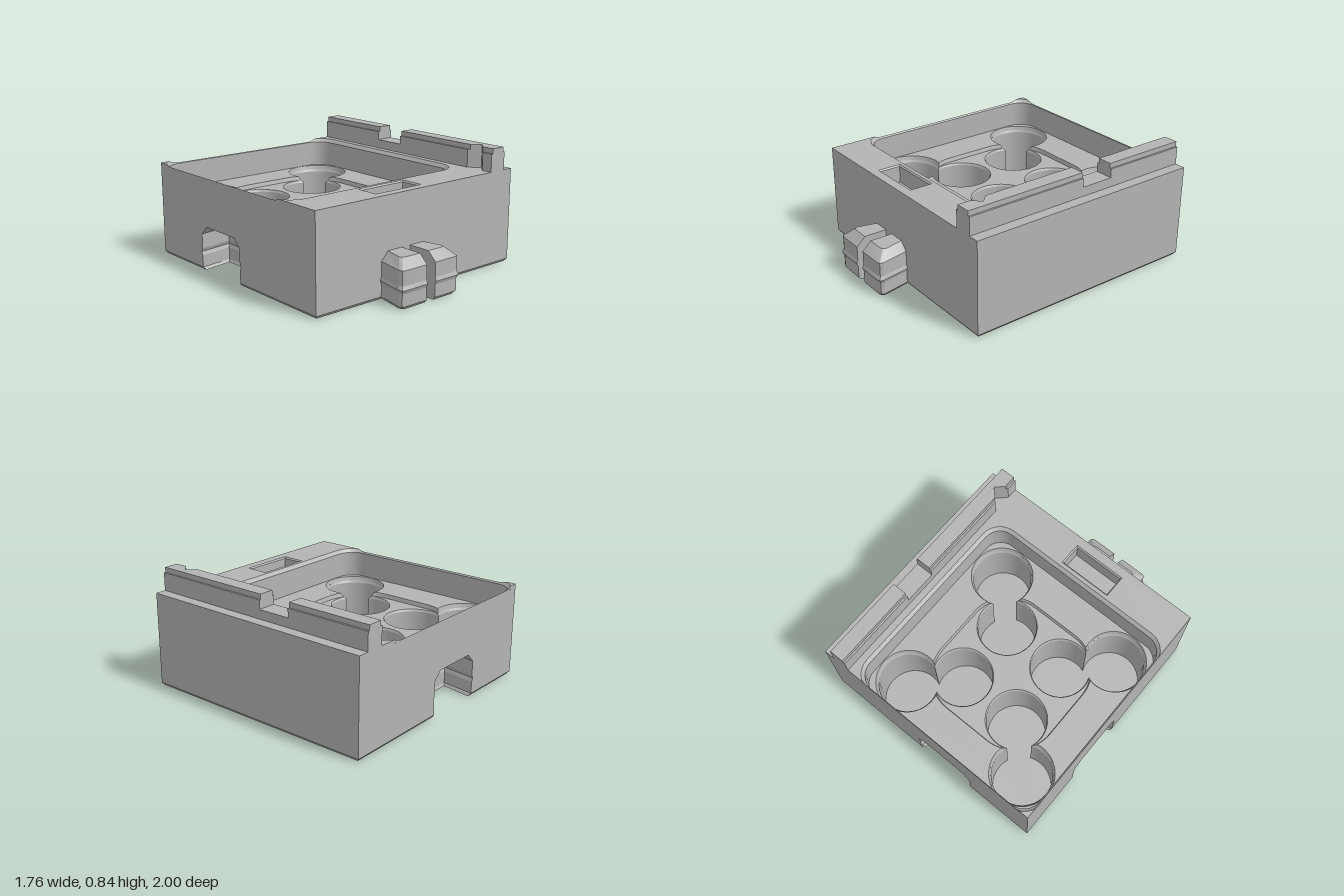
import * as THREE from 'three';
import { mergeGeometries, toCreasedNormals } from 'three/addons/utils/BufferGeometryUtils.js';

const CX = -0.135, CZ = -0.26;            // centre of the pocket, clip and notches
const X = 0.88, BACK = -1, FRONT = 0.76, TOP = 0.68;

// Horizontal face from plan loops of [x, z]
function flat(y, loop, up, holes = []) {
  const vec = l => l.map(p => new THREE.Vector2(p[0], p[1]));
  const shape = new THREE.Shape(vec(loop));
  holes.forEach(h => shape.holes.push(new THREE.Path(vec(h))));
  const g = new THREE.ShapeGeometry(shape);
  g.rotateX(Math.PI / 2).translate(0, y, 0);
  if (up) {
    const a = g.index.array;
    for (let i = 0; i < a.length; i += 3) [a[i], a[i + 1]] = [a[i + 1], a[i]];
  }
  const out = g.toNonIndexed();
  out.deleteAttribute('uv');
  out.computeVertexNormals();
  return out;
}

// Wall between two loops of equal length, lower then upper; a point may carry its own height
function band(lo, y0, hi, y1, outward = true) {
  const pos = [], at = (l, i, y) => { const p = l[i % l.length]; return [p[0], p[2] ?? y, p[1]]; };
  for (let i = 0; i < lo.length; i++) {
    const a = at(lo, i, y0), b = at(lo, i + 1, y0), c = at(hi, i + 1, y1), d = at(hi, i, y1);
    pos.push(...(outward ? [a, c, b, a, d, c] : [a, b, c, a, c, d]).flat());
  }
  const g = new THREE.BufferGeometry();
  g.setAttribute('position', new THREE.Float32BufferAttribute(pos, 3));
  g.computeVertexNormals();
  return toCreasedNormals(g, 0.5);
}

const rect = (x0, x1, z0, z1) => [[x0, z0], [x1, z0], [x1, z1], [x0, z1]];

// Arc around (cx, cz), angles in radians
function arc(cx, cz, r, a0, a1, n = 8) {
  return Array.from({ length: n + 1 }, (_, i) => {
    const a = a0 + (a1 - a0) * i / n;
    return [cx + r * Math.cos(a), cz + r * Math.sin(a)];
  });
}

// Corner arcs of a rounded square around the pocket centre
const corners = (half, r) => [[1, 1], [-1, 1], [-1, -1], [1, -1]].map(([sx, sz], q) =>
  arc(CX + sx * (half - r), CZ + sz * (half - r), r, q * Math.PI / 2, (q + 1) * Math.PI / 2));

// Outlines of the cups and centre recess, made along one diagonal and turned to each corner
function cupOutlines(grow) {
  const r = 0.206 + grow, R = 0.294 + grow, S = Math.SQRT2;
  const uc = 0.5075 * S, ui = 0.24 * S, us = 0.175 * S;
  const D = uc - us, a = (D * D + R * R - r * r) / (2 * D), h = Math.sqrt(R * R - a * a);
  const half = (uc - ui) / 2, hq = Math.sqrt(r * r - half * half);
  const onRecess = Math.atan2(h, a), onCorner = Math.atan2(h, a - D);
  const qCorner = Math.atan2(hq, -half), qInner = Math.atan2(hq, half), e = Math.PI / 4;
  const start = arc(us, 0, R, -e, -onRecess), end = arc(us, 0, R, onRecess, e);
  const turn = q => ([u, v]) => {
    const t = e + q * Math.PI / 2;
    return [CX + u * Math.cos(t) - v * Math.sin(t), CZ + u * Math.sin(t) + v * Math.cos(t)];
  };
  const all = l => [0, 1, 2, 3].flatMap(q => l.map(turn(q)));
  const inner = arc(ui, 0, r, qInner, 2 * Math.PI - qInner, 36);
  const pair = [...arc(uc, 0, r, -qCorner, qCorner, 36), ...inner.slice(1, -1)];
  return {
    union: all([...start, ...arc(uc, 0, r, -onCorner, onCorner, 36).slice(1, -1), ...end]),
    recess: all([...start, ...[...inner].reverse(), ...end]),
    pairs: [0, 1, 2, 3].map(q => pair.map(turn(q))),
  };
}

// Block outline with a flared notch in the back and left sides
function notched([, inset, m, w, d]) {
  const x = X - inset, b = BACK + inset, f = FRONT - inset;
  return [[-x, b], [CX - m, b], [CX - w, BACK + d], [CX + w, BACK + d], [CX + m, b],
    [x, b], [x, f], [-x, f],
    [-x, CZ + m], [-X + d, CZ + w], [-X + d, CZ - w], [-x, CZ - m]];
}

function bodyGeometry() {
  const parts = [];
  // Bottom, lower walls and notches
  const levels = [[0, 0.015, 0.21, 0.25, 0.235], [0.02, 0, 0.225, 0.265, 0.245],
    [0.105, 0, 0.225, 0.265, 0.245], [0.13, 0, 0.237, 0.277, 0.255],
    [0.155, 0, 0.225, 0.265, 0.245], [0.26, 0, 0.225, 0.265, 0.245], [0.32, 0, 0.165, 0.2, 0.17]];
  const loops = levels.map(notched);
  parts.push(flat(0, loops[0], false));
  for (let i = 1; i < loops.length; i++) parts.push(band(loops[i - 1], levels[i - 1][0], loops[i], levels[i][0]));
  const last = loops[loops.length - 1];
  parts.push(flat(0.32, last.slice(1, 5), false), flat(0.32, last.slice(8, 12), false));

  // Upper walls
  const square = rect(-X, X, BACK, FRONT), LIP = 0.655;
  parts.push(band(square, 0.32, square, LIP));

  // Pocket rim, its chamfer cut off where it runs out through the left and back walls
  const inner = corners(0.735, 0.13).flat(), outerArcs = corners(0.758, 0.155), outer = outerArcs.flat();
  const rim = inner.map((p, i) => {
    const q = outer[i];
    const t = Math.min(1, q[0] < -X ? (p[0] + X) / (p[0] - q[0]) : 1, q[1] < BACK ? (p[1] - BACK) / (p[1] - q[1]) : 1);
    return [p[0] + (q[0] - p[0]) * t, p[1] + (q[1] - p[1]) * t, LIP + (TOP - LIP) * t];
  });
  parts.push(band(inner, LIP, rim, TOP, false), band(rim.map(p => [p[0], p[1]]), LIP, rim, TOP));

  // Top face and the small peak left at the back corner
  const inside = p => p[0] > -X && p[1] > BACK;
  const edge = [...outerArcs[3], ...outerArcs[0], ...outerArcs[1]].filter(inside).reverse();
  const top = [[X, BACK], [X, FRONT], [-X, FRONT], [-X, 0.405], ...edge, [0.5405, BACK]];
  const peak = [[-X, BACK], [-0.8105, BACK], ...outerArcs[2].filter(inside).reverse(), [-X, -0.925]];
  const slotTop = rect(-0.34, 0.055, 0.525, 0.695), slot = rect(-0.33, 0.045, 0.535, 0.685);
  parts.push(flat(TOP, top, true, [slotTop]), band(top, LIP, top, TOP));
  parts.push(flat(TOP, peak, true), band(peak, LIP, peak, TOP));

  // Front slot
  parts.push(band(slot, 0.67, slotTop, TOP, false), band(slot, 0.55, slot, 0.67, false), flat(0.55, slot, true));

  // Pocket floor, centre recess and cups
  const FLOOR = 0.47, RECESS = 0.44, CUP = 0.06;
  const wide = cupOutlines(0.016), mid = cupOutlines(0.008), narrow = cupOutlines(0);
  parts.push(band(inner, FLOOR, inner, LIP, false), flat(FLOOR, inner, true, [wide.union]));
  parts.push(band(mid.union, RECESS, wide.union, FLOOR, false), flat(RECESS, mid.recess, true));
  narrow.pairs.forEach((p, q) => parts.push(
    band(p, 0.425, mid.pairs[q], RECESS, false), band(p, CUP, p, 0.425, false), flat(CUP, p, true)));
  return mergeGeometries(parts);
}

// One half of the split clip; side is 1 or -1
function clipGeometry(side) {
  const levels = [[0, 0.195, 0.235, 0.975], [0.02, 0.21, 0.25, 0.99], [0.105, 0.21, 0.25, 0.99],
    [0.13, 0.22, 0.26, 1], [0.155, 0.21, 0.25, 0.99], [0.255, 0.21, 0.25, 0.99], [0.315, 0.155, 0.19, 0.925]];
  const loops = levels.map(([, root, tip, z]) => {
    const l = [[0.0375, 0.75], [root, 0.75], [tip, z - 0.03], [tip - 0.008, z - 0.008], [tip - 0.03, z], [0.0375, z]]
      .map(p => [CX + side * p[0], p[1]]);
    return side < 0 ? l.reverse() : l;
  });
  const parts = [flat(0, loops[0], false), flat(0.315, loops[6], true)];
  for (let i = 1; i < loops.length; i++) parts.push(band(loops[i - 1], levels[i - 1][0], loops[i], levels[i][0]));
  return mergeGeometries(parts);
}

// Rail on the left edge: base, two raised runs and narrower caps, with a V cut near the front
function railGeometry() {
  const parts = [];
  const run = (x0, x1, z0, z1, y0, y1) => {
    const l = rect(x0, x1, z0, z1);
    if (z1 > 0.7) l.push([x0, 0.61 + 0.74 - x0], [0.74, 0.61], [x0, 0.61 - 0.74 + x0]);
    parts.push(band(l, y0, l, y1), flat(y1, l, true));
  };
  run(0.67, 0.803, BACK, FRONT, TOP, 0.745);
  for (const [z0, z1] of [[BACK, -0.38], [-0.14, FRONT]]) {
    run(0.67, 0.803, z0, z1, 0.745, 0.807);
    run(0.684, 0.79, z0, z1, 0.807, 0.843);
  }
  return mergeGeometries(parts);
}

export function createModel() {
  const group = new THREE.Group();
  const grey = new THREE.MeshStandardMaterial({ color: 0xb3b3b3, side: THREE.DoubleSide });
  grey.name = 'grey plastic';
  const add = (name, geometry) => {
    const mesh = new THREE.Mesh(geometry, grey);
    mesh.name = name;
    group.add(mesh);
  };
  add('body', bodyGeometry());
  add('rail', railGeometry());
  add('clipLeft', clipGeometry(1));
  add('clipRight', clipGeometry(-1));
  return group;
}
